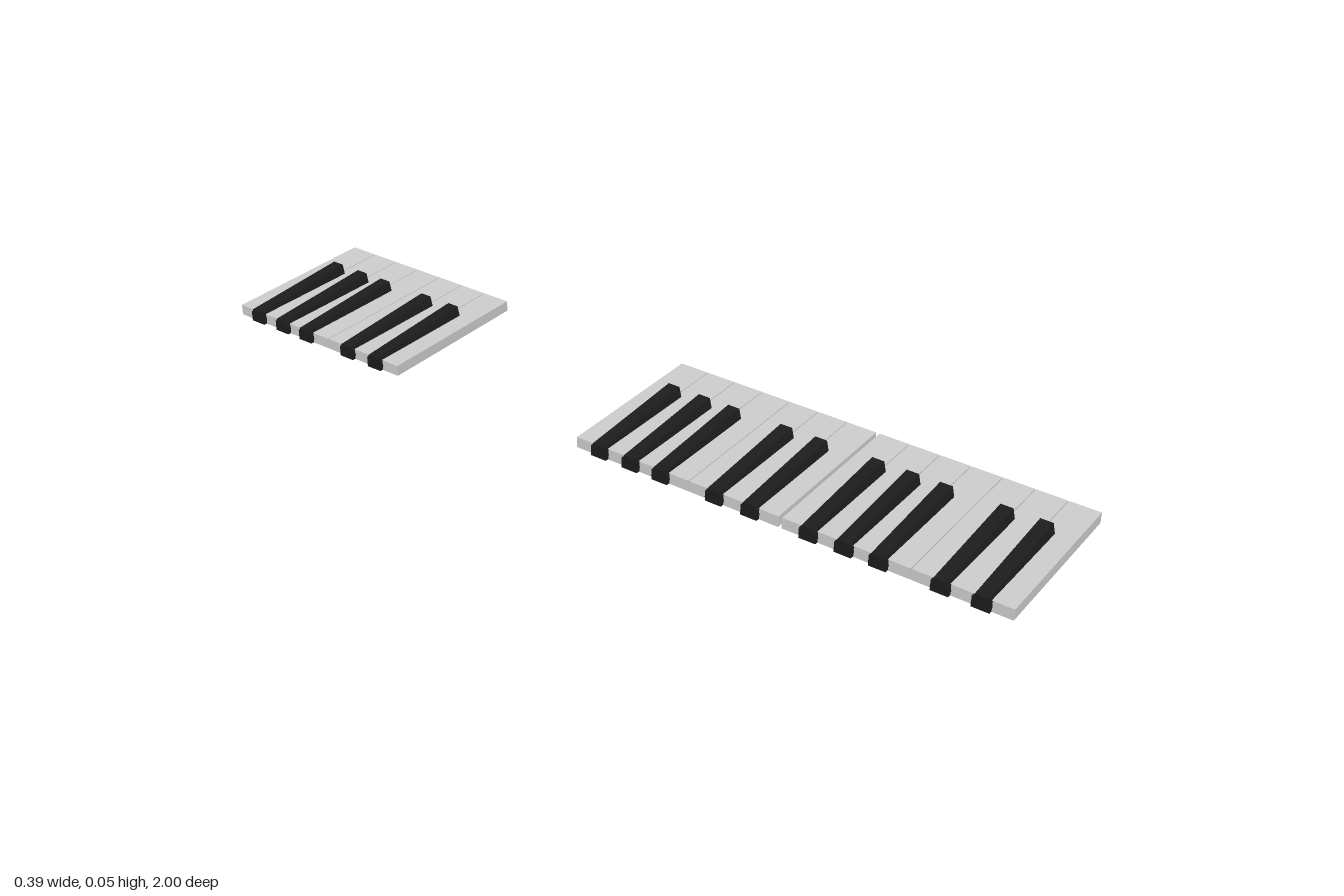
import * as THREE from 'three';

const OCTAVE = 0.497, KEY = OCTAVE / 7, GAP = 0.002;
const BACK = -0.187, FRONT = 0.197, TOP = 0.025;
const SHARP_BACK = -0.197, SHARP_FRONT = 0.076;

// White key: a hollow shell, open underneath
function whiteKeyGeometry() {
  const g = new THREE.BoxGeometry(FRONT - BACK, TOP, KEY - GAP);
  g.translate((FRONT + BACK) / 2, TOP / 2, 0);
  const index = Array.from(g.index.array);
  index.splice(18, 6); // bottom face
  g.setIndex(index);
  g.clearGroups();
  return g;
}

// Black key: rises toward its front end and flares toward its base
function blackKeyGeometry() {
  const g = new THREE.BoxGeometry(1, 1, 1);
  const p = g.attributes.position;
  const lerp = THREE.MathUtils.lerp;
  for (let i = 0; i < p.count; i++) {
    const t = p.getX(i) + 0.5, upper = p.getY(i) > 0;
    p.setXYZ(i,
      lerp(SHARP_BACK, SHARP_FRONT, t),
      upper ? lerp(0.033, 0.048, t) : lerp(0.010, 0.022, t),
      Math.sign(p.getZ(i)) * (upper ? 0.014 : 0.020));
  }
  const flat = g.toNonIndexed();
  flat.computeVertexNormals();
  return flat;
}

export function createModel() {
  const model = new THREE.Group();
  model.name = 'keyboard';
  const white = new THREE.MeshStandardMaterial({ color: 0xcccccc, side: THREE.DoubleSide });
  const black = new THREE.MeshStandardMaterial({ color: 0x1c1c1c });

  const whiteGeo = whiteKeyGeometry();
  const sharpGeo = blackKeyGeometry();
  // Tab hanging down behind the white keys
  const tabGeo = new THREE.BoxGeometry(BACK - SHARP_BACK - 0.001, 0.024, 0.038);
  tabGeo.translate((BACK + SHARP_BACK - 0.001) / 2, 0.014, 0);

  const add = (parent, name, geo, mat, z) => {
    const mesh = new THREE.Mesh(geo, mat);
    mesh.name = name;
    mesh.position.z = z;
    parent.add(mesh);
  };

  // Three octaves, with one octave's space left empty
  [-1, 0, 1 - OCTAVE].forEach((start, n) => {
    const octave = new THREE.Group();
    octave.name = `octave${n + 1}`;
    octave.position.z = start;
    for (let i = 0; i < 7; i++) add(octave, `whiteKey${i + 1}`, whiteGeo, white, (i + 0.5) * KEY);
    [0.064, 0.143, 0.218, 0.349, 0.433].forEach((z, i) => {
      const key = new THREE.Group();
      key.name = `blackKey${i + 1}`;
      add(key, 'blackKeyTop', sharpGeo, black, z);
      add(key, 'blackKeyTab', tabGeo, black, z);
      octave.add(key);
    });
    model.add(octave);
  });
  return model;
}
